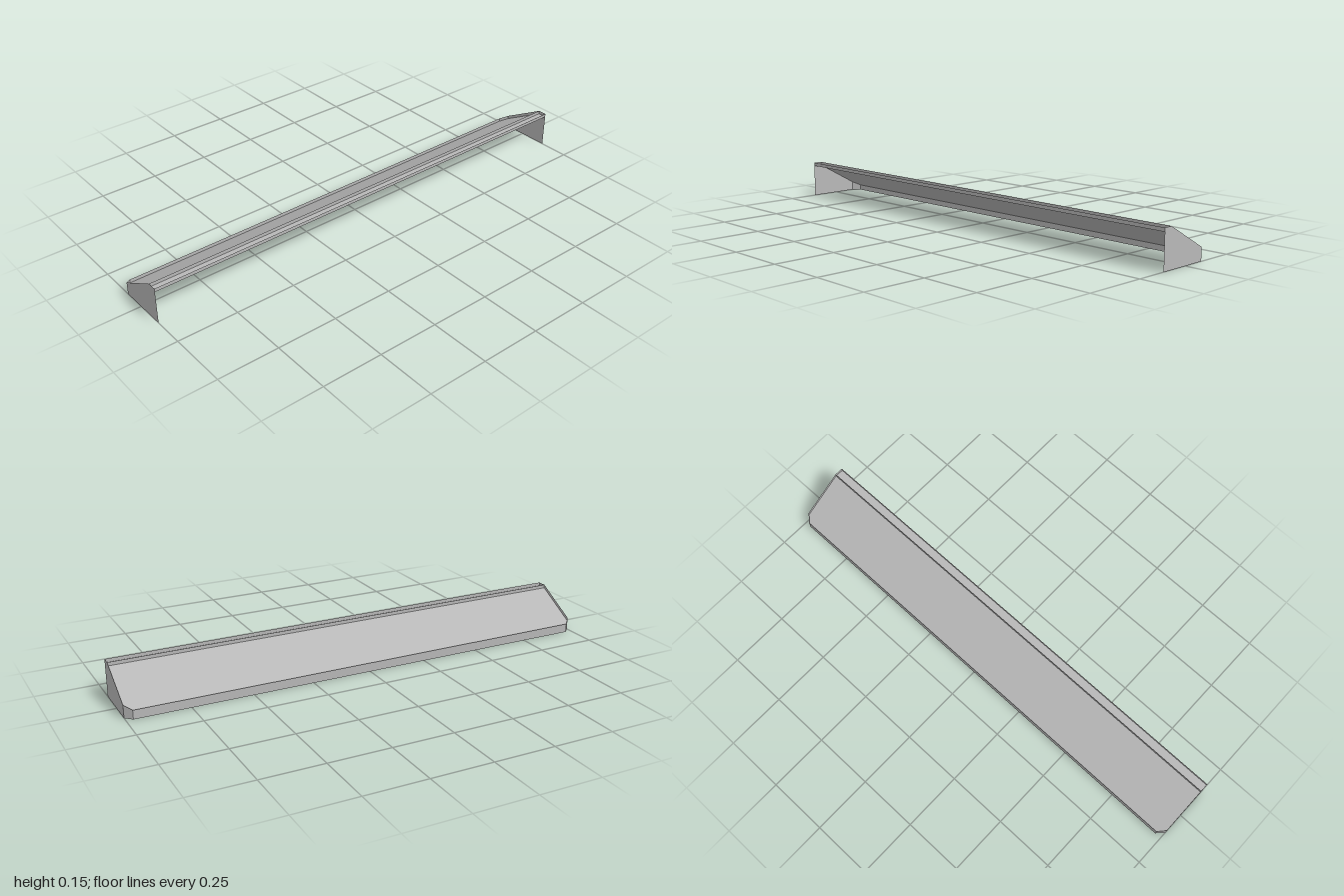
import * as THREE from 'three';

const FRONT = -0.122, BACK = 0.122, BEND = 0.085, CUT = 0.027, END = 1;
const TOP = 0.153, LIP = 0.037, RECESS = 0.0145;

// Height of the rim line: a slope that turns level at the bend
const rim = x => x >= BEND ? TOP : LIP + (TOP - LIP) * (x - FRONT) / (BEND - FRONT);
const tray = x => rim(x) - RECESS;

// Flat convex panel of thin sheet, fanned from its first corner
function panel(name, corners, material) {
  const points = [];
  for (let i = 1; i < corners.length - 1; i++) {
    points.push(...corners[0], ...corners[i], ...corners[i + 1]);
  }
  const geometry = new THREE.BufferGeometry();
  geometry.setAttribute('position', new THREE.Float32BufferAttribute(points, 3));
  geometry.computeVertexNormals();
  const mesh = new THREE.Mesh(geometry, material);
  mesh.name = name;
  return mesh;
}

export function createModel() {
  const group = new THREE.Group();
  group.name = 'slopedTray';
  const steel = new THREE.MeshStandardMaterial({ color: 0xb8b8b8, side: THREE.DoubleSide });
  steel.name = 'grey sheet';
  const add = (name, corners) => group.add(panel(name, corners, steel));

  // Upright strip running the length at one x
  const strip = (name, x, y0, y1, half) => add(name, [
    [x, y0, half], [x, y0, -half], [x, y1, -half], [x, y1, half],
  ]);
  const inner = END - CUT, corner = FRONT + CUT;
  strip('frontLip', FRONT, 0, LIP, inner);
  strip('backLip', BACK, TOP - RECESS, TOP, END);
  strip('channelRib', BEND, TOP - RECESS, TOP, END);

  // Sloping tray with clipped front corners
  add('slopedTrayFloor', [
    [FRONT, tray(FRONT), -inner], [FRONT, tray(FRONT), inner],
    [corner, tray(corner), END], [BEND, tray(BEND), END],
    [BEND, tray(BEND), -END], [corner, tray(corner), -END],
  ]);

  // Level channel along the back
  add('channelFloor', [
    [BEND, tray(BEND), -END], [BEND, tray(BEND), END],
    [BACK, tray(BACK), END], [BACK, tray(BACK), -END],
  ]);

  // End plates and the angled corner plates
  for (const side of [1, -1]) {
    const z = side * END;
    const plate = [
      [corner, 0, z], [BACK, 0, z], [BACK, TOP, z], [BEND, TOP, z], [corner, rim(corner), z],
    ];
    const cut = [
      [FRONT, 0, side * inner], [corner, 0, z], [corner, rim(corner), z], [FRONT, LIP, side * inner],
    ];
    add('endPlate', side > 0 ? plate : plate.reverse());
    add('cornerPlate', side > 0 ? cut : cut.reverse());
  }
  return group;
}
